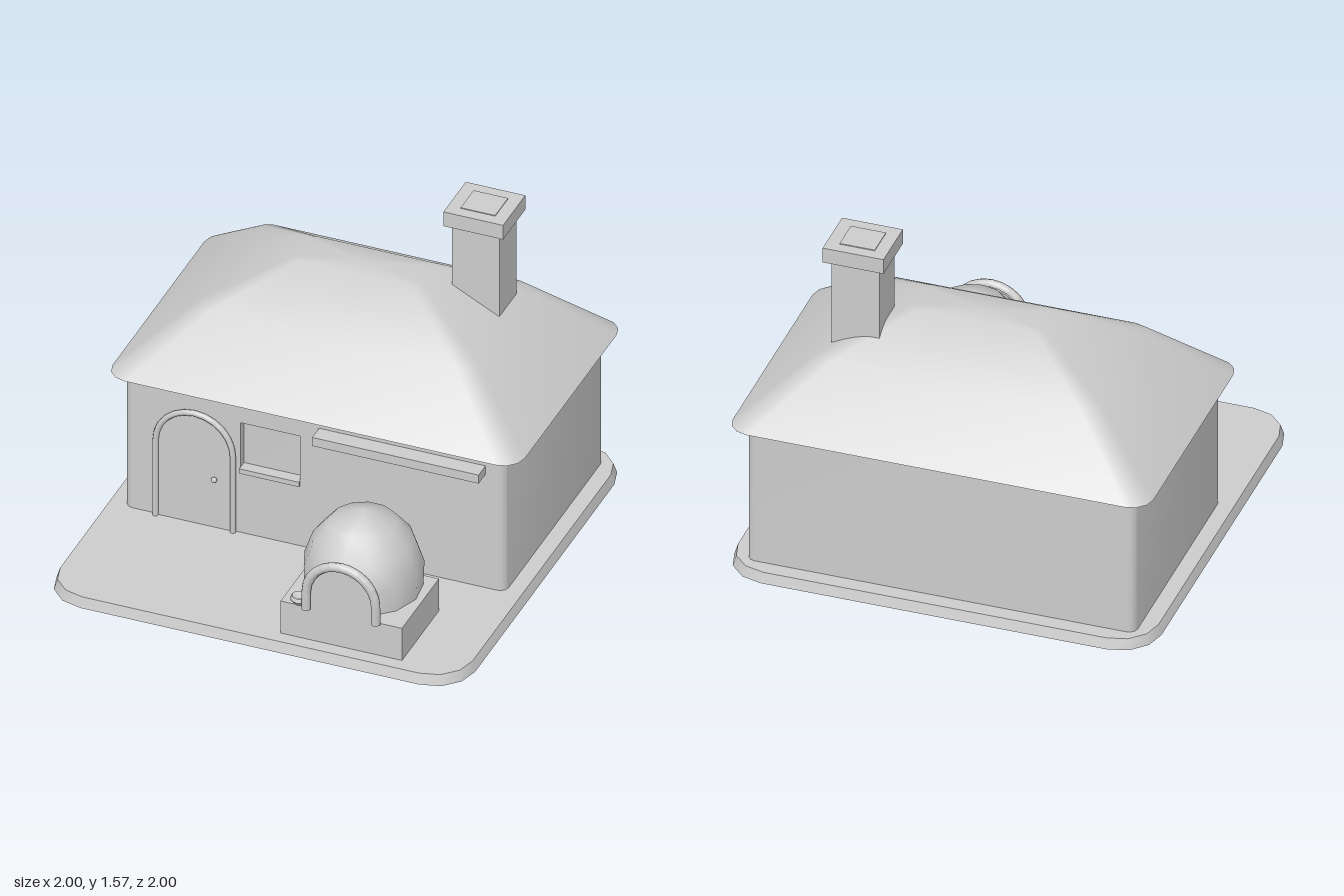
import * as THREE from 'three';
import { toCreasedNormals } from 'three/addons/utils/BufferGeometryUtils.js';

const clay = new THREE.MeshStandardMaterial({ color: 0xcccccc });
clay.name = 'clayGrey';

// Rounded rectangle in plan at height y; front corners may have their own radius
function ring(y, x0, x1, z0, z1, r, frontR = r, steps = 3) {
  const pts = [];
  for (let k = 0; k < 4; k++) {
    const front = k < 2, rad = front ? frontR : r;
    const cx = k === 0 || k === 3 ? x1 - rad : x0 + rad;
    const cz = front ? z1 - rad : z0 + rad;
    for (let i = 0; i <= steps; i++) {
      const a = (k + i / steps) * Math.PI / 2;
      pts.push([cx + rad * Math.cos(a), y, cz + rad * Math.sin(a)]);
    }
  }
  return pts;
}

// Closed solid through a stack of rings
function loft(rings, crease = 0.7) {
  const pos = [];
  const n = rings[0].length;
  const mid = (r) => [0, 1, 2].map((c) => r.reduce((s, p) => s + p[c], 0) / n);
  const low = rings[0], top = rings[rings.length - 1];
  const cLow = mid(low), cTop = mid(top);
  for (let i = 0; i < n; i++) {
    const j = (i + 1) % n;
    for (let k = 0; k + 1 < rings.length; k++) {
      const a = rings[k], b = rings[k + 1];
      pos.push(...a[i], ...b[i], ...a[j], ...a[j], ...b[i], ...b[j]);
    }
    pos.push(...cLow, ...low[i], ...low[j], ...cTop, ...top[j], ...top[i]);
  }
  const g = new THREE.BufferGeometry();
  g.setAttribute('position', new THREE.Float32BufferAttribute(pos, 3));
  return toCreasedNormals(g, crease);
}

// Box given by its limits
function box(x0, x1, y0, y1, z0, z1) {
  return new THREE.BoxGeometry(x1 - x0, y1 - y0, z1 - z0)
    .translate((x0 + x1) / 2, (y0 + y1) / 2, (z0 + z1) / 2);
}

// Points of a round-topped arch, from one foot over to the other
function archPoints(cx, foot, spring, r) {
  const pts = [new THREE.Vector2(cx + r, foot)];
  for (let i = 0; i <= 12; i++) {
    const a = (i / 12) * Math.PI;
    pts.push(new THREE.Vector2(cx + r * Math.cos(a), spring + r * Math.sin(a)));
  }
  pts.push(new THREE.Vector2(cx - r, foot));
  return pts;
}

function archTube(cx, foot, spring, r, z, thick) {
  const p = archPoints(cx, foot, spring, r).map((v) => new THREE.Vector3(v.x, v.y, z));
  const path = new THREE.CurvePath();
  for (let i = 0; i + 1 < p.length; i++) path.add(new THREE.LineCurve3(p[i], p[i + 1]));
  return new THREE.TubeGeometry(path, 56, thick, 8);
}

function archPanel(cx, foot, spring, r, z0, z1) {
  const shape = new THREE.Shape(archPoints(cx, foot, spring, r));
  return new THREE.ExtrudeGeometry(shape, { depth: z1 - z0, bevelEnabled: false }).translate(0, 0, z0);
}

function lathe(profile, sides, x, z) {
  const pts = profile.map(([r, y]) => new THREE.Vector2(r, y));
  return toCreasedNormals(new THREE.LatheGeometry(pts, sides), 0.75).translate(x, 0, z);
}

export function createModel() {
  const model = new THREE.Group();
  const add = (name, geometry) => {
    const mesh = new THREE.Mesh(geometry, clay);
    mesh.name = name;
    model.add(mesh);
  };

  // Ground slab with slightly sloped rim
  add('groundSlab', loft([
    ring(0, -1, 1, -1, 1, 0.19),
    ring(0.05, -0.985, 0.985, -0.985, 0.985, 0.18),
  ]));

  // House walls; the front wall is a panel with a window opening
  const top = 0.76;
  add('walls', loft([0.04, top].map((y) => ring(y, -0.91, 0.91, -0.91, 0.2, 0.04, 0.001))));
  const front = new THREE.Shape();
  front.moveTo(-0.87, 0.04).lineTo(0.87, 0.04).lineTo(0.87, top).lineTo(-0.87, top);
  const opening = new THREE.Path();
  opening.moveTo(-0.355, 0.38).lineTo(-0.355, 0.63).lineTo(-0.07, 0.63).lineTo(-0.07, 0.38);
  front.holes.push(opening);
  add('frontWall', new THREE.ExtrudeGeometry(front, { depth: 0.04, bevelEnabled: false }).translate(0, 0, 0.2));
  for (const s of [-1, 1]) {
    add('frontWallCorner', new THREE.CylinderGeometry(0.04, 0.04, top - 0.04, 3, 1, true,
      s > 0 ? 0 : -Math.PI / 2, Math.PI / 2).translate(s * 0.87, (top + 0.04) / 2, 0.2));
  }
  add('windowSill', box(-0.355, -0.07, 0.37, 0.395, 0.2, 0.255));

  // Hipped roof with a softer upper pitch
  add('roof', loft([
    ring(0.75, -0.985, 0.985, -0.975, 0.295, 0.1),
    ring(1.04, -0.655, 0.655, -0.71, 0.03, 0.07),
    ring(1.22, -0.3, 0.3, -0.445, -0.235, 0.03),
  ]));

  // Chimney
  add('chimneyStack', box(0.4, 0.625, 1.055, 1.5, -0.585, -0.385));
  add('chimneyCap', box(0.37, 0.655, 1.49, 1.565, -0.615, -0.355));
  add('chimneyFlue', box(0.43, 0.595, 1.56, 1.569, -0.56, -0.41));

  // Door
  add('door', archPanel(-0.572, 0.05, 0.447, 0.185, 0.235, 0.246));
  add('doorFrame', archTube(-0.572, 0.05, 0.447, 0.185, 0.25, 0.014));
  add('doorKnob', new THREE.SphereGeometry(0.014, 8, 6).translate(-0.473, 0.31, 0.262));

  // Wall shelf above the oven
  add('shelf', box(0.02, 0.815, 0.65, 0.695, 0.235, 0.32));

  // Outdoor oven
  add('ovenPlinth', box(0.115, 0.695, 0.04, 0.22, 0.49, 0.92));
  add('ovenDome', lathe([[0, 0.21], [0.265, 0.21], [0.27, 0.345], [0.23, 0.46], [0.152, 0.553], [0, 0.61]], 13, 0.4, 0.65));
  add('ovenDoor', archPanel(0.408, 0.22, 0.31, 0.165, 0.9, 0.922));
  add('ovenArch', archTube(0.408, 0.22, 0.31, 0.166, 0.932, 0.022));
  add('bowl', lathe([[0, 0.22], [0.02, 0.22], [0.043, 0.246], [0.036, 0.264], [0, 0.25]], 8, 0.2, 0.905));

  return model;
}
